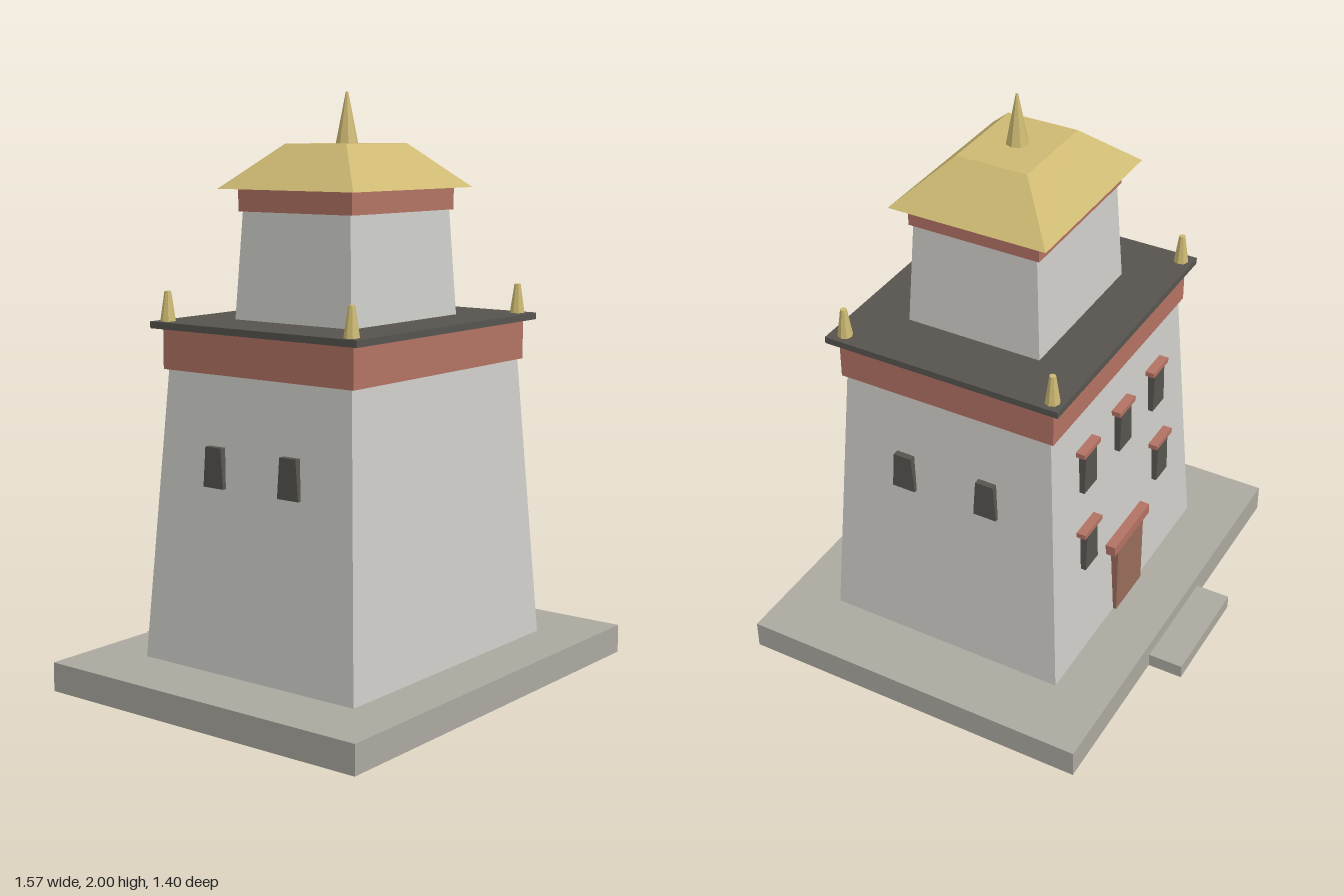
import * as THREE from 'three';

const mat = (name, color) => {
  const m = new THREE.MeshStandardMaterial({ color });
  m.name = name;
  return m;
};

export function createModel() {
  const plaster = mat('pale plaster', 0xcdccc8);
  const stone = mat('grey stone', 0xaba89f);
  const red = mat('red ochre', 0xb27263);
  const dark = mat('dark slate', 0x57544f);
  const gold = mat('gold', 0xcdb972);
  const wood = mat('brown wood', 0x976b58);

  const model = new THREE.Group();
  model.name = 'tower';
  const CZ = 0.065; // the tower's axis in z

  const add = (name, geometry, material, x, y, z) => {
    const mesh = new THREE.Mesh(geometry, material);
    mesh.name = name;
    mesh.position.set(x, y, z);
    model.add(mesh);
    return mesh;
  };

  // Box from y0 to y1 whose top is scaled to tw x td
  const block = (name, material, x, z, y0, y1, w, d, tw = w, td = d) => {
    const g = new THREE.BoxGeometry(w, y1 - y0, d);
    const p = g.attributes.position;
    for (let i = 0; i < p.count; i++) {
      if (p.getY(i) > 0) p.setXYZ(i, p.getX(i) * tw / w, p.getY(i), p.getZ(i) * td / d);
    }
    g.computeVertexNormals();
    return add(name, g, material, x, (y0 + y1) / 2, z);
  };

  // Faceted spike
  const spike = (name, x, z, y0, y1, r0, r1) => {
    const g = new THREE.CylinderGeometry(r1, r0, y1 - y0, 8).toNonIndexed();
    g.computeVertexNormals();
    add(name, g, gold, x, (y0 + y1) / 2, z);
  };

  // Plinth and entrance step
  block('plinth', stone, 0, 0.0625, 0, 0.1, 1.57, 1.275);
  block('step', stone, 0, -0.6375, 0, 0.05, 0.41, 0.125);

  // Main storey with tapering walls
  block('mainWalls', plaster, 0, CZ, 0.1, 1.1, 1.08, 0.885, 0.945, 0.765);
  block('mainFrieze', red, 0, CZ, 1.085, 1.225, 0.97, 0.795);
  block('terraceRoof', dark, 0, CZ + 0.002, 1.222, 1.245, 1.03, 0.86);

  // Upper storey and hipped roof
  block('upperWalls', plaster, 0, CZ, 1.24, 1.61, 0.592, 0.49, 0.552, 0.45);
  block('upperFrieze', red, 0, CZ, 1.605, 1.68, 0.57, 0.475);
  block('goldenRoof', gold, 0, CZ - 0.003, 1.68, 1.828, 0.668, 0.567, 0.336, 0.256);

  // Spikes on the roof and the terrace corners
  spike('roofFinial', 0, 0.063, 1.828, 2, 0.038, 0.004);
  for (const x of [-0.472, 0.472]) {
    for (const z of [-0.322, 0.446]) spike('cornerFinial', x, z, 1.245, 1.345, 0.026, 0.011);
  }

  // Side windows
  for (const side of [-1, 1]) {
    for (const z of [CZ - 0.157, CZ + 0.157]) {
      block('sideWindow', dark, side * 0.494, z, 0.715, 0.85, 0.036, 0.086, 0.036, 0.066);
    }
  }

  // Entrance wall windows with lintels
  const entranceWindow = (x, y, h, face, lintel) => {
    block('window', dark, x, face + 0.025, y, y + h, 0.09, 0.05, 0.074, 0.05);
    block('lintel', red, x, face + 0.02, y + h, y + h + 0.018, lintel, 0.05);
  };
  for (const x of [-0.26, 0, 0.26]) entranceWindow(x, 0.77, 0.153, -0.356, 0.115);
  for (const x of [-0.277, 0.277]) entranceWindow(x, 0.455, 0.15, -0.375, 0.125);

  // Door
  block('door', wood, 0, -0.365, 0.1, 0.38, 0.2, 0.05);
  block('doorLintel', red, 0, -0.37, 0.38, 0.42, 0.275, 0.05);

  return model;
}
